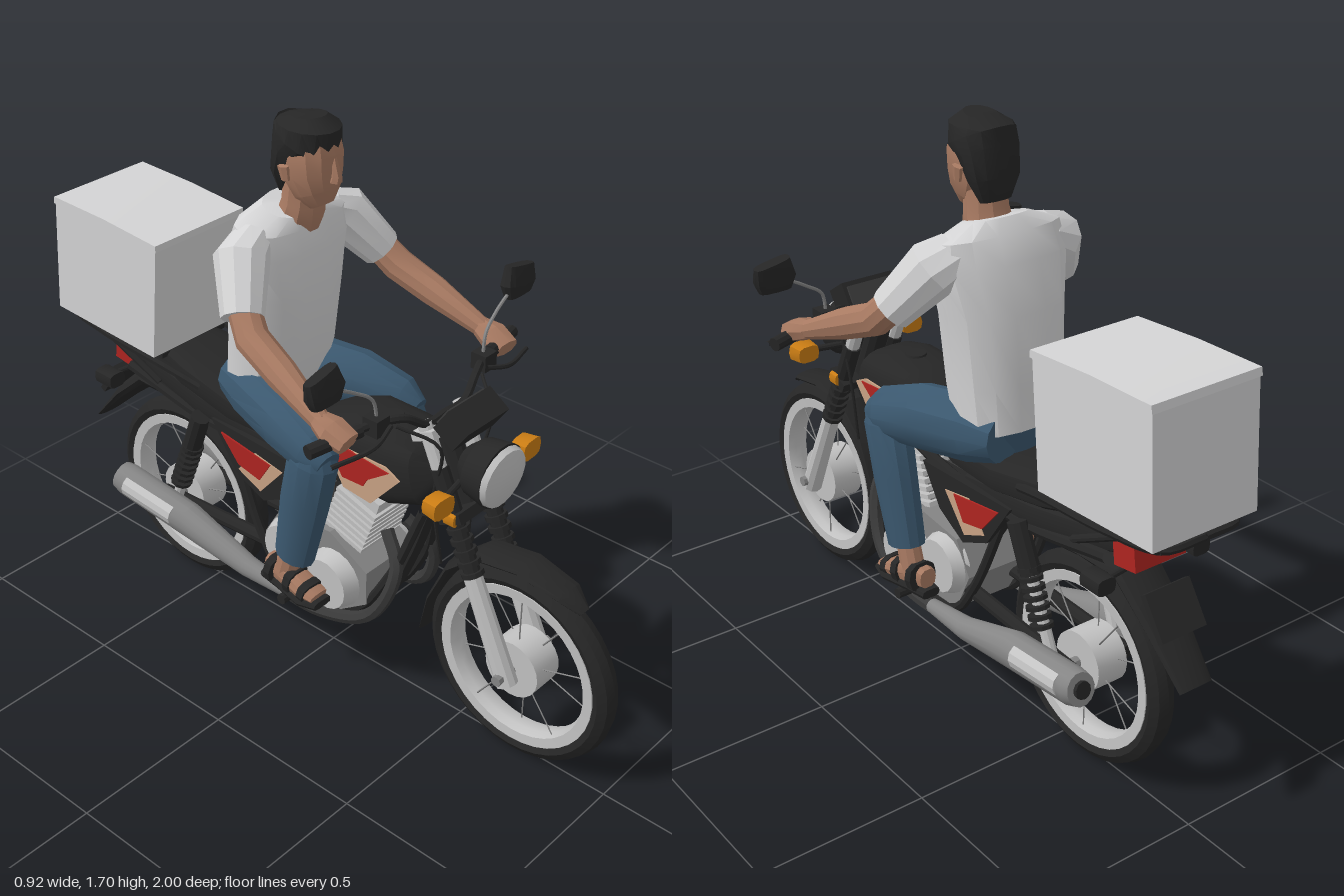
import * as THREE from 'three';
import { toCreasedNormals } from 'three/addons/utils/BufferGeometryUtils.js';

const mat = (name, color) => Object.assign(new THREE.MeshStandardMaterial({ color }), { name });
const V = (p) => new THREE.Vector3(p[0], p[1], p[2]);

export function createModel() {
  const black = mat('black', 0x262626), charcoal = mat('charcoal', 0x3a3a3a), silver = mat('silver', 0xc2c2c2),
    steel = mat('steel grey', 0x858585), white = mat('light grey', 0xd4d4d5), denim = mat('denim', 0x3b586f),
    skin = mat('skin', 0xa87a62), red = mat('red', 0xae2420), orange = mat('orange', 0xc97c14), tan = mat('tan', 0xc8a284);
  const model = new THREE.Group();
  model.name = 'motorcycleAndRider';

  const add = (name, geo, material, parent = model) => {
    const m = new THREE.Mesh(toCreasedNormals(geo, 0.5), material);
    m.name = name;
    parent.add(m);
    return m;
  };
  const both = (fn) => [1, -1].forEach(fn);

  // Tapered cylinder between two points
  const rod = (name, a, b, r0, material, r1 = r0, sides = 10) => {
    const p = V(a), d = V(b).sub(p);
    const g = new THREE.CylinderGeometry(r1, r0, d.length(), sides);
    g.applyQuaternion(new THREE.Quaternion().setFromUnitVectors(new THREE.Vector3(0, 1, 0), d.clone().normalize()));
    p.addScaledVector(d, 0.5);
    return add(name, g.translate(p.x, p.y, p.z), material);
  };
  const tube = (name, pts, r, material) =>
    add(name, new THREE.TubeGeometry(new THREE.CatmullRomCurve3(pts.map(V)), pts.length * 5, r, 7), material);
  const block = (name, size, pos, material, tilt = 0) =>
    add(name, new THREE.BoxGeometry(...size).rotateX(tilt).translate(...pos), material);

  // Side profile of [z, y] points, extruded across x
  const plate = (name, pts, x0, x1, material) => {
    const shape = new THREE.Shape(pts.map(([z, y]) => new THREE.Vector2(-z, y)));
    const g = new THREE.ExtrudeGeometry(shape, { depth: x1 - x0, bevelEnabled: false });
    return add(name, g.rotateY(Math.PI / 2).translate(x0, 0, 0), material);
  };
  const sidePlate = (name, pts, s, x, t, m) => plate(name, pts, s > 0 ? x : -x - t, s > 0 ? x + t : -x, m);

  // Rings [x, y, z, halfWidth, halfDepth] joined along their path; power < 1 makes them boxier
  const loft = (name, rings, material, n = 12, power = 1) => {
    const pos = [], idx = [], last = rings.length - 1;
    const bend = (v) => Math.sign(v) * Math.abs(v) ** power;
    rings.forEach((r, i) => {
      const t = V(rings[Math.min(i + 1, last)]).sub(V(rings[Math.max(i - 1, 0)])).normalize();
      const side = new THREE.Vector3(1, 0, 0).addScaledVector(t, -t.x).normalize();
      const up = t.clone().cross(side);
      for (let k = 0; k < n; k++) {
        const a = (k / n) * Math.PI * 2;
        const p = V(r).addScaledVector(side, bend(Math.cos(a)) * r[3]).addScaledVector(up, bend(Math.sin(a)) * (r[4] ?? r[3]));
        pos.push(p.x, p.y, p.z);
      }
    });
    const c = pos.length / 3;
    pos.push(...rings[0].slice(0, 3), ...rings[last].slice(0, 3));
    for (let k = 0; k < n; k++) {
      const k1 = (k + 1) % n;
      for (let i = 0; i < last; i++) {
        const a = i * n + k, b = i * n + k1;
        idx.push(a, b, a + n, b, b + n, a + n);
      }
      idx.push(c, k1, k, c + 1, last * n + k, last * n + k1);
    }
    const g = new THREE.BufferGeometry();
    g.setAttribute('position', new THREE.Float32BufferAttribute(pos, 3));
    g.setIndex(idx);
    return add(name, g, material);
  };

  // Wheels: tyre, rim, hub and spokes
  const ring = (pts) => new THREE.LatheGeometry(pts.map(([r, x]) => new THREE.Vector2(r, x)), 36).rotateZ(Math.PI / 2);
  [['front', 0.7], ['rear', -0.595]].forEach(([end, z]) => {
    const wheel = new THREE.Group();
    wheel.name = end + 'Wheel';
    wheel.position.set(0, 0.308, z);
    model.add(wheel);
    add('tyre', ring([[0.25, -0.03], [0.275, -0.041], [0.298, -0.026], [0.306, 0], [0.298, 0.026], [0.275, 0.041], [0.25, 0.03], [0.25, -0.03]]), black, wheel);
    add('rim', ring([[0.218, -0.012], [0.226, -0.034], [0.256, -0.036], [0.256, 0.036], [0.226, 0.034], [0.218, 0.012], [0.218, -0.012]]), silver, wheel);
    add('hub', new THREE.CylinderGeometry(0.088, 0.088, 0.1, 20).rotateZ(Math.PI / 2), silver, wheel);
    add('axle', new THREE.CylinderGeometry(0.016, 0.016, 0.24, 8).rotateZ(Math.PI / 2), steel, wheel);
    for (let i = 0; i < 10; i++) {
      const g = new THREE.CylinderGeometry(0.0025, 0.0025, 0.16, 4).translate(0, 0.15, 0);
      add('spoke', g.rotateX((i / 10) * Math.PI * 2).translate(i % 2 ? 0.02 : -0.02, 0, 0), steel, wheel);
    }
  });

  // Fenders
  loft('frontFender', [[0, 0.575, 0.885, 0.02, 0.008], [0, 0.61, 0.83, 0.05, 0.014], [0, 0.637, 0.7, 0.058, 0.016], [0, 0.615, 0.56, 0.058, 0.018],
    [0, 0.53, 0.465, 0.058, 0.018], [0, 0.4, 0.405, 0.058, 0.014], [0, 0.27, 0.37, 0.045, 0.008]], black);
  loft('rearFender', [[0, 0.62, -0.38, 0.065, 0.014], [0, 0.66, -0.6, 0.075, 0.02], [0, 0.665, -0.75, 0.075, 0.035],
    [0, 0.56, -0.87, 0.07, 0.027], [0, 0.43, -0.99, 0.055, 0.008]], black);
  block('numberPlate', [0.15, 0.13, 0.02], [0, 0.61, -0.895], black, 0.6);

  // Front fork with rubber boots
  const onFork = (x, y) => [x, y, 0.7 - (y - 0.3) * 0.45];
  both((s) => {
    rod('forkLeg', onFork(s * 0.078, 0.28), onFork(s * 0.078, 0.58), 0.032, silver, 0.027);
    rod('forkBoot', onFork(s * 0.075, 0.57), onFork(s * 0.075, 0.73), 0.024, black);
    for (let y = 0.58; y < 0.73; y += 0.03) rod('bootRib', onFork(s * 0.075, y), onFork(s * 0.075, y + 0.013), 0.033, black);
    rod('forkTube', onFork(s * 0.075, 0.72), onFork(s * 0.075, 0.99), 0.022, silver);
    rod('lampBracket', onFork(s * 0.075, 0.75), onFork(s * 0.075, 0.87), 0.027, black);
  });
  block('lowerForkYoke', [0.2, 0.03, 0.08], onFork(0, 0.74), black, -0.42);
  block('upperForkYoke', [0.2, 0.025, 0.08], onFork(0, 0.96), silver, -0.42);

  // Headlight, instruments and turn signals
  loft('headlightShell', [[0, 0.875, 0.48, 0.045], [0, 0.873, 0.52, 0.083], [0, 0.87, 0.59, 0.095]], black, 18);
  loft('headlightLens', [[0, 0.87, 0.588, 0.092], [0, 0.868, 0.606, 0.086], [0, 0.867, 0.62, 0.045]], silver, 18);
  block('instrumentCluster', [0.175, 0.085, 0.08], [0, 1.005, 0.485], black, 0.6);
  block('instrumentFace', [0.15, 0.06, 0.006], [0, 1.028, 0.448], charcoal, 0.6);
  both((s) => {
    rod('frontSignalStalk', [s * 0.07, 0.85, 0.51], [s * 0.16, 0.85, 0.53], 0.01, black);
    loft('frontSignal', [[s * 0.188, 0.848, 0.508, 0.036, 0.026], [s * 0.19, 0.848, 0.555, 0.041, 0.03]], orange, 10, 0.6);
    loft('forkReflector', [[s * 0.1, 0.745, 0.49, 0.012, 0.02], [s * 0.1, 0.745, 0.525, 0.012, 0.02]], orange, 8);
    rod('rearSignalStalk', [0, 0.7, -0.77], [s * 0.14, 0.7, -0.79], 0.009, black);
    loft('rearSignal', [[s * 0.16, 0.7, -0.75, 0.03, 0.024], [s * 0.16, 0.7, -0.82, 0.03, 0.024]], black, 10, 0.6);
  });

  // Handlebar, levers, cables and mirrors
  both((s) => {
    tube('handlebar', [[0, 0.99, 0.4], [s * 0.08, 0.99, 0.4], [s * 0.15, 1.03, 0.38], [s * 0.23, 1.035, 0.345], [s * 0.3, 1.03, 0.325]], 0.012, black);
    rod('grip', [s * 0.27, 1.032, 0.335], [s * 0.425, 1.02, 0.295], 0.02, black);
    block('switchHousing', [0.05, 0.05, 0.05], [s * 0.225, 1.035, 0.35], black);
    tube('lever', [[s * 0.2, 1.03, 0.38], [s * 0.28, 1.01, 0.395], [s * 0.41, 0.995, 0.36]], 0.007, black);
    tube('mirrorStem', [[s * 0.22, 1.04, 0.35], [s * 0.235, 1.11, 0.345], [s * 0.29, 1.15, 0.335], [s * 0.36, 1.19, 0.33]], 0.005, steel);
    loft('mirror', [[s * 0.395, 1.165, 0.33, 0.05, 0.018], [s * 0.395, 1.2, 0.328, 0.064, 0.026], [s * 0.405, 1.25, 0.322, 0.056, 0.018]], black, 12, 0.6);
    tube('cable', [[s * 0.18, 1.02, 0.38], [s * 0.11, 0.96, 0.47], [s * 0.09, 0.78, 0.44], [s * 0.06, 0.55, 0.45]], 0.005, black);
  });

  // Fuel tank and side covers with coloured panels
  loft('fuelTank', [[0, 0.82, 0.41, 0.05, 0.04], [0, 0.8, 0.37, 0.105, 0.09], [0, 0.79, 0.28, 0.124, 0.115], [0, 0.79, 0.14, 0.124, 0.115],
    [0, 0.775, 0.04, 0.11, 0.09], [0, 0.76, -0.05, 0.08, 0.05]], black, 20, 0.6);
  rod('fuelCap', [0, 0.895, 0.22], [0, 0.91, 0.22], 0.035, black, 0.03, 14);
  const tankTan = [[0.35, 0.805], [0.3, 0.83], [0.16, 0.83], [0.1, 0.78], [0.15, 0.7], [0.25, 0.69]];
  const tankRed = [[0.315, 0.818], [0.165, 0.832], [0.115, 0.785], [0.15, 0.735], [0.225, 0.738], [0.24, 0.765]];
  const sideBase = [[0.02, 0.68], [-0.38, 0.7], [-0.28, 0.55], [-0.17, 0.5], [-0.06, 0.56]];
  const sideTan = [[-0.09, 0.635], [-0.2, 0.655], [-0.27, 0.57], [-0.18, 0.53]];
  const sideRed = [[-0.135, 0.642], [-0.335, 0.672], [-0.265, 0.59], [-0.18, 0.572]];
  both((s) => {
    sidePlate('tankPanel', tankTan, s, 0.121, 0.006, tan);
    sidePlate('tankFlash', tankRed, s, 0.125, 0.006, red);
    sidePlate('sidePanel', sideBase, s, 0.07, 0.05, black);
    sidePlate('sidePanelTrim', sideTan, s, 0.118, 0.005, tan);
    sidePlate('sidePanelFlash', sideRed, s, 0.121, 0.006, red);
  });

  // Seat and tail
  loft('seat', [[0, 0.76, 0.04, 0.08, 0.04], [0, 0.745, -0.1, 0.11, 0.045], [0, 0.76, -0.3, 0.13, 0.05], [0, 0.8, -0.5, 0.128, 0.052],
    [0, 0.825, -0.64, 0.1, 0.04]], black, 16, 0.6);
  loft('tailCowl', [[0, 0.67, -0.15, 0.1, 0.04], [0, 0.71, -0.45, 0.115, 0.05], [0, 0.75, -0.68, 0.095, 0.045], [0, 0.76, -0.78, 0.07, 0.03]], black, 14, 0.6);
  block('tailLight', [0.17, 0.068, 0.08], [0, 0.748, -0.795], red, 0.15);

  // Frame tubes and rear suspension
  rod('headStock', [0, 0.72, 0.5], [0, 0.95, 0.4], 0.035, black);
  tube('downTube', [[0, 0.84, 0.44], [0, 0.68, 0.37], [0, 0.48, 0.3], [0, 0.32, 0.22], [0, 0.25, 0.1]], 0.022, black);
  both((s) => {
    tube('cradle', [[s * 0.03, 0.66, 0.36], [s * 0.08, 0.42, 0.28], [s * 0.09, 0.25, 0.15], [s * 0.1, 0.24, -0.1], [s * 0.1, 0.36, -0.2], [s * 0.09, 0.64, -0.32]], 0.015, black);
    tube('seatRail', [[s * 0.05, 0.72, 0.3], [s * 0.09, 0.68, 0], [s * 0.1, 0.67, -0.4], [s * 0.1, 0.73, -0.75]], 0.017, black);
    rod('swingArm', [s * 0.08, 0.33, -0.1], [s * 0.09, 0.308, -0.64], 0.022, black);
    rod('shockTop', [s * 0.125, 0.69, -0.42], [s * 0.12, 0.55, -0.475], 0.03, black);
    rod('shockBody', [s * 0.12, 0.57, -0.465], [s * 0.11, 0.33, -0.56], 0.017, silver);
    for (let i = 0; i < 7; i++) {
      const y = 0.57 - i * 0.025, z = -0.465 - i * 0.0098;
      rod('shockCoil', [s * 0.12, y, z], [s * 0.12, y - 0.011, z - 0.004], 0.034, black);
    }
  });

  // Engine with cooling fins, covers, exhausts and foot pegs
  plate('crankcase', [[0.22, 0.42], [0.08, 0.5], [-0.12, 0.48], [-0.18, 0.38], [-0.12, 0.25], [0.12, 0.24], [0.22, 0.31]], -0.105, 0.105, steel);
  both((s) => {
    rod('engineCover', [s * 0.09, 0.35, 0.1], [s * 0.155, 0.35, 0.1], 0.1, silver, 0.08, 18);
    rod('clutchCover', [s * 0.09, 0.38, -0.07], [s * 0.14, 0.38, -0.07], 0.1, silver, 0.08, 16);
    tube('exhaustPipe', [[s * 0.04, 0.55, 0.24], [s * 0.08, 0.47, 0.31], [s * 0.12, 0.3, 0.25], [s * 0.14, 0.235, 0.08], [s * 0.14, 0.235, -0.15]], 0.02, charcoal);
    loft('muffler', [[s * 0.14, 0.235, -0.05, 0.022], [s * 0.145, 0.25, -0.22, 0.034], [s * 0.155, 0.312, -0.46, 0.05, 0.055], [s * 0.168, 0.35, -0.72, 0.05, 0.054], [s * 0.17, 0.357, -0.75, 0.044, 0.048]], steel, 14);
    loft('mufflerShield', [[s * 0.168, 0.325, -0.5, 0.045, 0.04], [s * 0.178, 0.352, -0.7, 0.045, 0.04]], silver, 12);
    rod('mufflerTip', [s * 0.17, 0.355, -0.74], [s * 0.17, 0.36, -0.76], 0.025, black);
    rod('footPeg', [s * 0.08, 0.285, 0], [s * 0.23, 0.285, 0], 0.016, black);
  });
  for (let i = 0; i < 7; i++) block('coolingFin', [0.17, 0.014, 0.15], [0, 0.49 + i * 0.022, 0.11 + i * 0.008], silver, 0.3);
  block('cylinder', [0.13, 0.2, 0.12], [0, 0.54, 0.13], steel, 0.3);
  block('cylinderHead', [0.14, 0.05, 0.13], [0, 0.64, 0.165], silver, 0.3);
  block('carburettor', [0.1, 0.1, 0.12], [0, 0.58, -0.01], charcoal);

  // Luggage rack and delivery box
  block('rackBase', [0.26, 0.015, 0.4], [0, 0.85, -0.77], black, 0.05);
  block('rackUnderside', [0.2, 0.005, 0.24], [0, 0.841, -0.78], red, 0.05);
  both((s) => {
    tube('rackRail', [[s * 0.12, 0.79, -0.42], [s * 0.15, 0.83, -0.56], [s * 0.15, 0.848, -0.8], [s * 0.12, 0.862, -0.965], [0, 0.865, -0.98]], 0.013, black);
    rod('rackStrut', [s * 0.1, 0.72, -0.62], [s * 0.13, 0.85, -0.85], 0.012, black);
  });
  plate('deliveryBox', [[-0.525, 1.215], [-0.958, 1.235], [-0.985, 0.88], [-0.56, 0.858]], -0.172, 0.172, white);
  plate('boxLid', [[-0.52, 1.215], [-0.52, 1.236], [-0.74, 1.252], [-0.957, 1.257], [-0.962, 1.235]], -0.176, 0.176, white);

  // Rider's shirt
  loft('shirt', [[0, 0.87, -0.225, 0.16, 0.11], [0, 1.0, -0.2, 0.165, 0.128], [0, 1.2, -0.182, 0.178, 0.13], [0, 1.33, -0.165, 0.205, 0.108],
    [0, 1.4, -0.155, 0.195, 0.085], [0, 1.435, -0.145, 0.1, 0.065]], white, 14, 0.85);
  both((s) => {
    loft('sleeve', [[s * 0.14, 1.365, -0.165, 0.055, 0.068], [s * 0.2, 1.335, -0.148, 0.076, 0.08], [s * 0.28, 1.215, -0.07, 0.058, 0.062]], white, 10);
    loft('arm', [[s * 0.262, 1.25, -0.09, 0.045], [s * 0.295, 1.175, -0.02, 0.048], [s * 0.312, 1.125, 0.1, 0.045], [s * 0.335, 1.055, 0.26, 0.028]], skin, 10);
    loft('hand', [[s * 0.335, 1.058, 0.25, 0.028, 0.026], [s * 0.335, 1.045, 0.295, 0.046, 0.033], [s * 0.33, 1.025, 0.35, 0.04, 0.026]], skin, 8, 0.8);
    // Legs and sandalled feet
    loft('thigh', [[s * 0.08, 0.87, -0.3, 0.07, 0.07], [s * 0.1, 0.865, -0.2, 0.09, 0.095], [s * 0.15, 0.85, -0.03, 0.085, 0.095], [s * 0.185, 0.82, 0.1, 0.066, 0.076], [s * 0.19, 0.8, 0.15, 0.04, 0.045]], denim, 12);
    loft('shin', [[s * 0.19, 0.87, 0.1, 0.035, 0.04], [s * 0.188, 0.8, 0.095, 0.062, 0.078], [s * 0.188, 0.64, 0.06, 0.057, 0.078], [s * 0.183, 0.435, 0.015, 0.05, 0.064]], denim, 12);
    loft('ankle', [[s * 0.185, 0.46, 0.01, 0.032, 0.036], [s * 0.185, 0.35, -0.02, 0.034, 0.042]], skin, 10);
    loft('foot', [[s * 0.18, 0.36, -0.085, 0.028, 0.03], [s * 0.182, 0.358, -0.02, 0.038, 0.04], [s * 0.187, 0.34, 0.06, 0.045, 0.026], [s * 0.187, 0.33, 0.11, 0.036, 0.013]], skin, 10, 0.8);
    loft('sandalSole', [[s * 0.18, 0.318, -0.1, 0.03, 0.014], [s * 0.182, 0.318, -0.03, 0.04, 0.014], [s * 0.187, 0.312, 0.07, 0.052, 0.014], [s * 0.187, 0.312, 0.125, 0.036, 0.012]], black, 10, 0.6);
    [[-0.055, 0.359, 0.045], [0.02, 0.349, 0.043], [0.075, 0.335, 0.034]].forEach(([z, y, h]) =>
      loft('sandalStrap', [[s * 0.185, y, z - 0.012, 0.048, h], [s * 0.186, y - 0.003, z + 0.012, 0.049, h - 0.003]], black, 10, 0.8));
    loft('ear', [[s * 0.082, 1.535, -0.095, 0.008, 0.014], [s * 0.086, 1.575, -0.1, 0.01, 0.02]], skin, 6);
  });
  loft('hips', [[0, 0.79, -0.2, 0.12, 0.09], [0, 0.9, -0.22, 0.15, 0.1]], denim, 12);

  // Head, nose and hair
  loft('neck', [[0, 1.36, -0.115, 0.05, 0.045], [0, 1.41, -0.12, 0.07, 0.066], [0, 1.45, -0.11, 0.062, 0.058], [0, 1.54, -0.1, 0.058, 0.056]], skin, 10);
  loft('head', [[0, 1.455, -0.04, 0.035, 0.03], [0, 1.49, -0.057, 0.062, 0.064], [0, 1.54, -0.075, 0.077, 0.083], [0, 1.6, -0.08, 0.082, 0.088],
    [0, 1.655, -0.085, 0.072, 0.08]], skin, 12, 0.9);
  loft('nose', [[0, 1.535, 0.008, 0.02, 0.016], [0, 1.55, 0.01, 0.015, 0.016], [0, 1.6, 0, 0.008, 0.008]], skin, 6);
  loft('hair', [[0, 1.48, -0.15, 0.05, 0.02], [0, 1.54, -0.142, 0.078, 0.048], [0, 1.605, -0.12, 0.087, 0.07], [0, 1.64, -0.09, 0.09, 0.1],
    [0, 1.675, -0.085, 0.08, 0.092], [0, 1.697, -0.088, 0.045, 0.055]], black, 14);
  return model;
}
